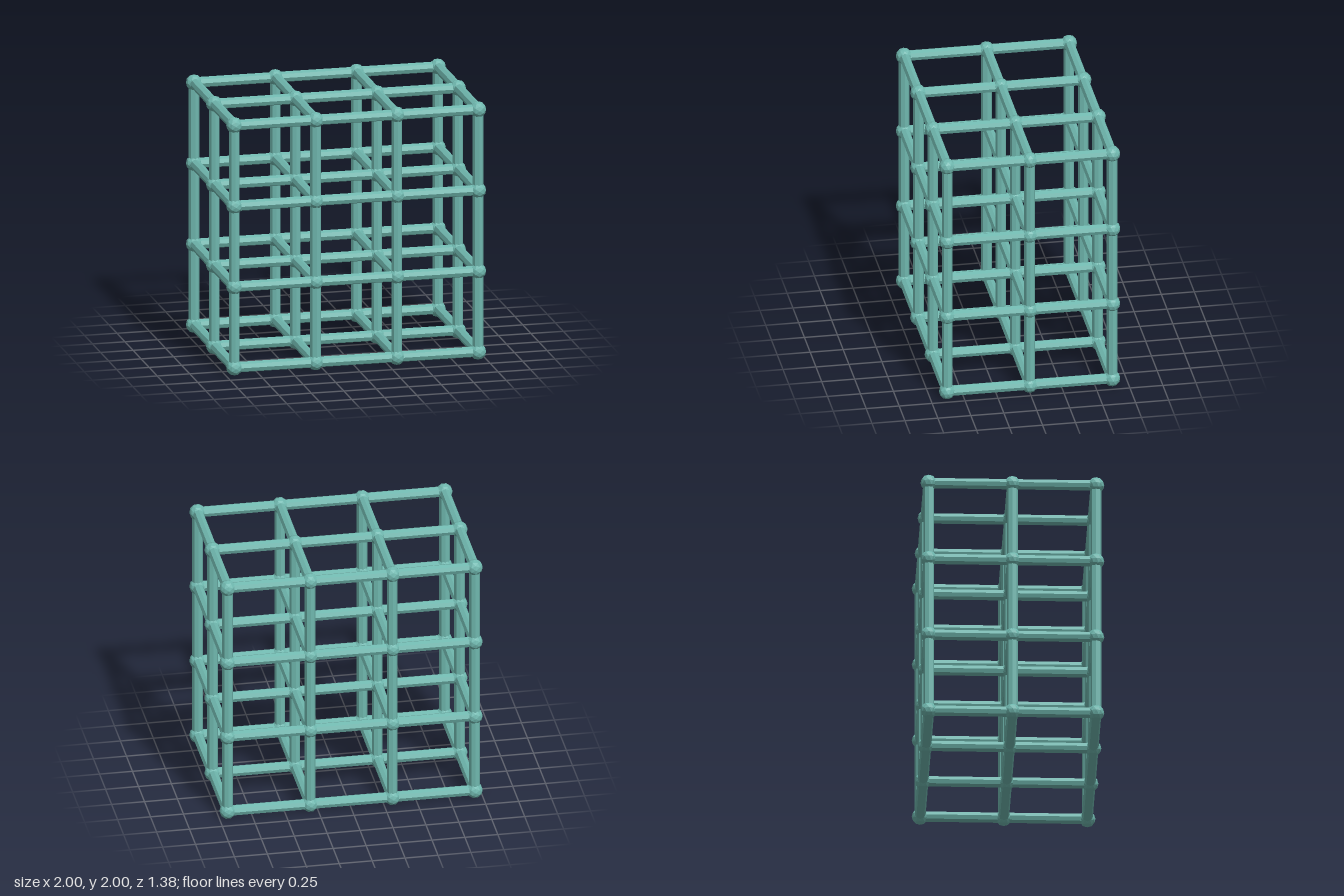
import * as THREE from 'three';

const CELL = 0.625, JOINT_R = 0.0625, BAR_R = 0.041;
const COUNT = { x: 4, y: 4, z: 3 }; // joints along each axis

export function createModel() {
  const model = new THREE.Group();
  model.name = 'climbingFrame';
  const paint = new THREE.MeshStandardMaterial({ color: 0x6fb7ae, flatShading: true });

  // joint coordinates along each axis
  const centred = (n) => Array.from({ length: n }, (_, i) => (i - (n - 1) / 2) * CELL);
  const xs = centred(COUNT.x);
  const zs = centred(COUNT.z);
  const ys = Array.from({ length: COUNT.y }, (_, i) => JOINT_R + i * CELL);

  // one bar per cell edge, running from joint to joint
  const barGeometry = new THREE.CylinderGeometry(BAR_R, BAR_R, CELL, 8, 1, true);
  const addBar = (name, x, y, z, rx, rz) => {
    const bar = new THREE.Mesh(barGeometry, paint);
    bar.name = name;
    bar.position.set(x, y, z);
    bar.rotation.set(rx, 0, rz);
    model.add(bar);
  };

  // faceted ball joints at every crossing
  const jointGeometry = new THREE.IcosahedronGeometry(JOINT_R, 1);
  const half = CELL / 2;
  xs.forEach((x, i) => ys.forEach((y, j) => zs.forEach((z, k) => {
    const joint = new THREE.Mesh(jointGeometry, paint);
    joint.name = 'joint';
    joint.position.set(x, y, z);
    model.add(joint);
    if (i < COUNT.x - 1) addBar('crossBar', x + half, y, z, 0, Math.PI / 2);
    if (j < COUNT.y - 1) addBar('uprightBar', x, y + half, z, 0, 0);
    if (k < COUNT.z - 1) addBar('depthBar', x, y, z + half, Math.PI / 2, 0);
  })));

  return model;
}
